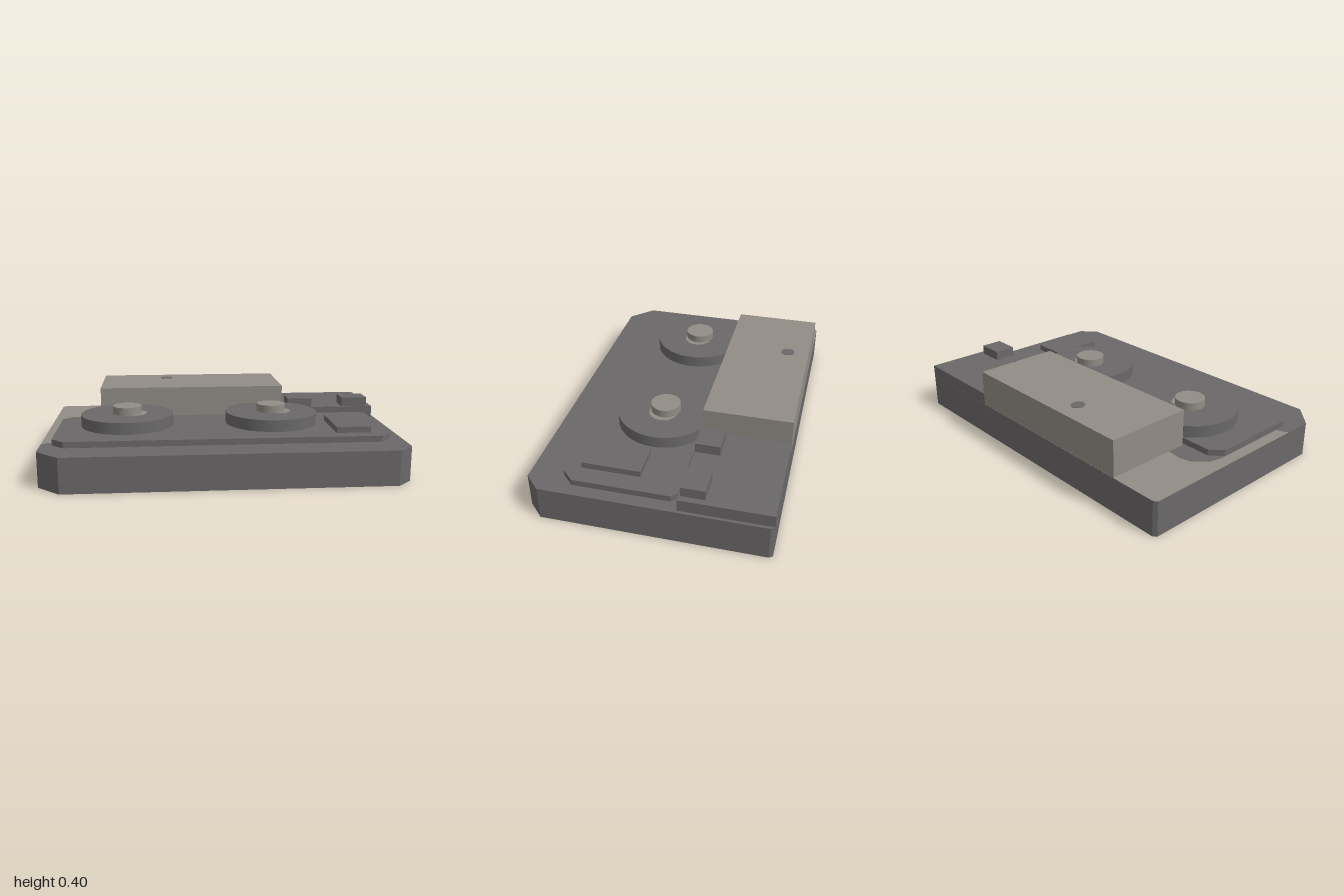
import * as THREE from 'three';

const dark = new THREE.MeshStandardMaterial({ color: 0x6a6869, side: THREE.DoubleSide });
dark.name = 'dark grey';
const light = new THREE.MeshStandardMaterial({ color: 0x918c86, side: THREE.DoubleSide });
light.name = 'warm grey';

const DECK = 0.195; // height of the deck surface

// Shape lying in the ground plane, from [x, z] points
const planShape = (pts) => new THREE.Shape(pts.map(([x, z]) => new THREE.Vector2(x, -z)));

export function createModel() {
  const model = new THREE.Group();
  model.name = 'tapeDeck';

  const add = (name, geometry, material) => {
    const mesh = new THREE.Mesh(geometry, material);
    mesh.name = name;
    model.add(mesh);
    return mesh;
  };
  const box = (name, material, x0, x1, y0, y1, z0, z1) =>
    add(name, new THREE.BoxGeometry(x1 - x0, y1 - y0, z1 - z0), material)
      .position.set((x0 + x1) / 2, (y0 + y1) / 2, (z0 + z1) / 2);
  const disc = (name, material, r, x, z, y0, y1) => {
    const mesh = add(name, new THREE.CylinderGeometry(r, r, y1 - y0, 48), material);
    mesh.position.set(x, (y0 + y1) / 2, z);
    return mesh;
  };
  const flat = (name, shape, material) =>
    add(name, new THREE.ShapeGeometry(shape, 32).rotateX(-Math.PI / 2), material).position.y = DECK;

  // Case walls, open underneath
  const outline = [
    [-1, 0.53], [-0.875, 0.655], [0.915, 0.655], [1, 0.57],
    [1, -0.635], [0.985, -0.655], [-0.98, -0.655], [-1, -0.64],
  ];
  const walls = [];
  outline.forEach(([ax, az], i) => {
    const [bx, bz] = outline[(i + 1) % outline.length];
    walls.push(ax, 0, az, bx, 0, bz, bx, DECK, bz, ax, 0, az, bx, DECK, bz, ax, DECK, az);
  });
  const wallGeometry = new THREE.BufferGeometry();
  wallGeometry.setAttribute('position', new THREE.Float32BufferAttribute(walls, 3));
  wallGeometry.computeVertexNormals();
  add('caseWalls', wallGeometry, dark);

  // Deck surface: pale strip at the back and one end, dark elsewhere
  const seam = [
    [-1, 0.37], [-0.97, 0.35], [-0.937, 0.34], [-0.937, -0.12], [-0.92, -0.19], [-0.85, -0.26],
    [-0.79, -0.275], [-0.71, -0.265], [-0.66, -0.17], [0.41, -0.17], [0.41, -0.655],
  ];
  flat('paleDeck', planShape([...seam, [-0.98, -0.655], [-1, -0.64]]), light);
  const darkDeck = planShape([...seam, [0.985, -0.655], [1, -0.635], [1, 0.57],
    [0.915, 0.655], [-0.875, 0.655], [-1, 0.53]]);
  for (const x of [-0.51, 0.33]) {
    const circle = () => new THREE.Path().absarc(x, -0.07, 0.092, 0, Math.PI * 2, true);
    darkDeck.holes.push(circle());
    flat('deckSpot', new THREE.Shape(circle().getPoints(32)), light);
  }
  flat('darkDeck', darkDeck, dark);

  // Raised plate with clipped corners
  const plate = planShape([
    [-0.935, 0.405], [-0.87, 0.47], [0.865, 0.47], [0.93, 0.405],
    [0.93, -0.12], [0.9, -0.15], [-0.87, -0.15], [-0.935, -0.09],
  ]);
  add('raisedPlate', new THREE.ExtrudeGeometry(plate, { depth: 0.034, bevelEnabled: false })
    .rotateX(-Math.PI / 2), dark).position.y = DECK + 0.001;

  // Reels, each with a hub and an offset painted spot
  for (const x of [-0.54, 0.305]) {
    disc('reel', dark, 0.267, x, 0.072, 0.23, 0.297);
    disc('hub', light, 0.083, x, 0.072, 0.297, 0.342);
    disc('reelSpot', light, 0.08, x + 0.033, 0.078, 0.296, 0.299);
  }

  // Back housing with a dark dot on top
  box('housing', light, -0.71, 0.41, DECK + 0.001, 0.402, -0.655, -0.165);
  disc('housingDot', dark, 0.036, -0.3, -0.53, 0.4, 0.404).scale.z = 1.12;

  // Step beside the housing, its two buttons, and the front key
  box('step', dark, 0.41, 0.985, DECK + 0.001, 0.264, -0.655, -0.165);
  box('buttonInner', dark, 0.45, 0.6, 0.264, 0.319, -0.303, -0.167);
  box('buttonOuter', dark, 0.795, 0.952, 0.264, 0.319, -0.303, -0.175);
  box('key', dark, 0.63, 0.825, 0.23, 0.264, 0.067, 0.388);

  return model;
}
